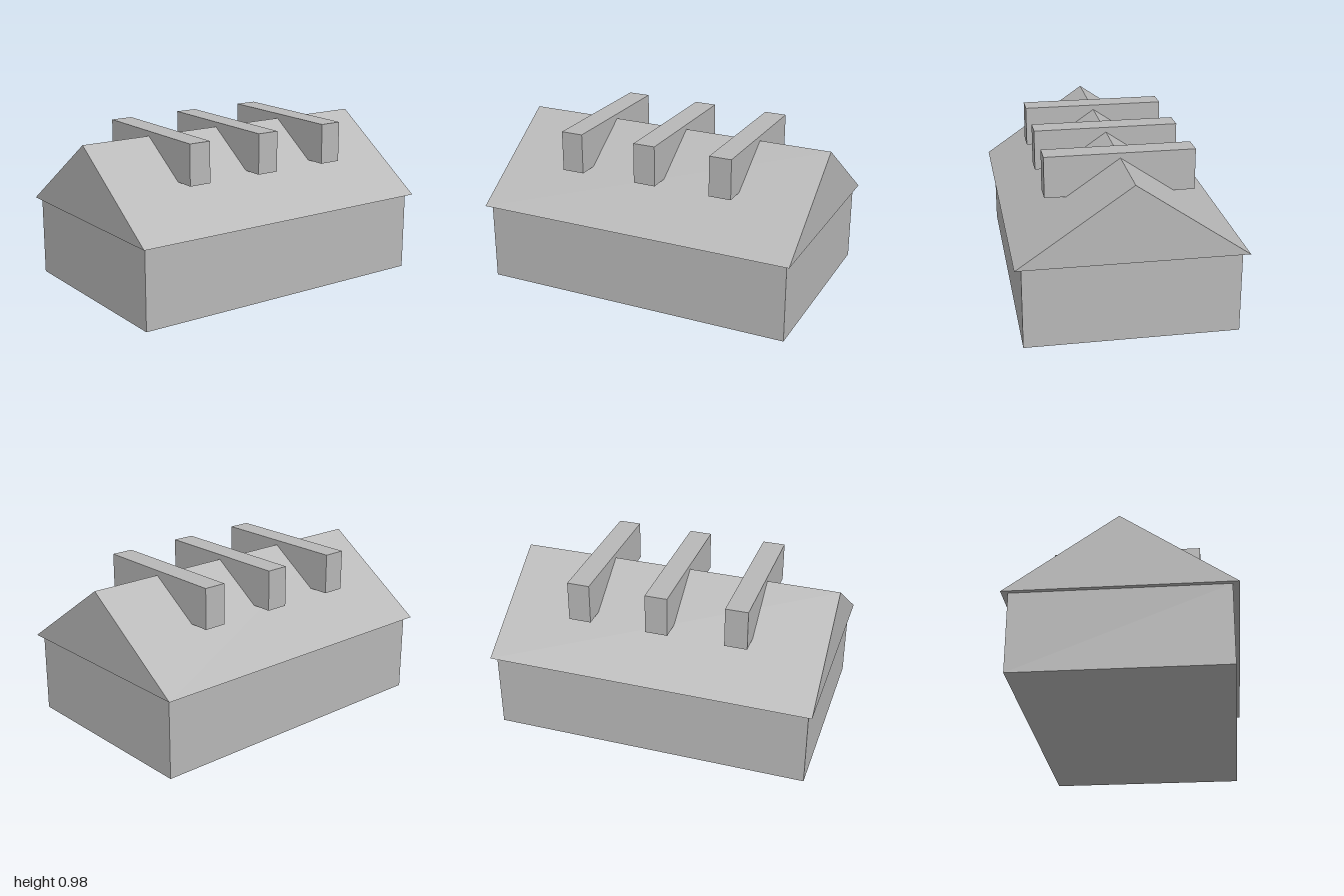
import * as THREE from 'three';

export function createModel() {
  const model = new THREE.Group();
  const plaster = new THREE.MeshStandardMaterial({ color: 0xb8b8b8 });
  plaster.name = 'plain grey';

  function add(name, geometry, x = 0, y = 0, z = 0) {
    const mesh = new THREE.Mesh(geometry, plaster);
    mesh.name = name;
    mesh.position.set(x, y, z);
    model.add(mesh);
  }

  const eaves = 0.488;
  const ridge = 0.945;

  // Rectangular walls
  add('walls', new THREE.BoxGeometry(1.253, eaves, 1.947), 0, eaves / 2, 0);

  // Solid gable roof, overhanging the walls
  const gable = new THREE.Shape([
    new THREE.Vector2(-0.665, eaves),
    new THREE.Vector2(0.665, eaves),
    new THREE.Vector2(0, ridge),
  ]);
  add('roof', new THREE.ExtrudeGeometry(gable, { depth: 2, bevelEnabled: false }), 0, 0, -1);

  // Three beams lying across the ridge
  const bottom = 0.727;
  const top = 0.975;
  [['front', 0.487], ['middle', 0], ['back', -0.487]].forEach(([place, z]) => {
    add(`${place}RoofBeam`, new THREE.BoxGeometry(0.888, top - bottom, 0.138), 0, (top + bottom) / 2, z);
  });

  return model;
}
